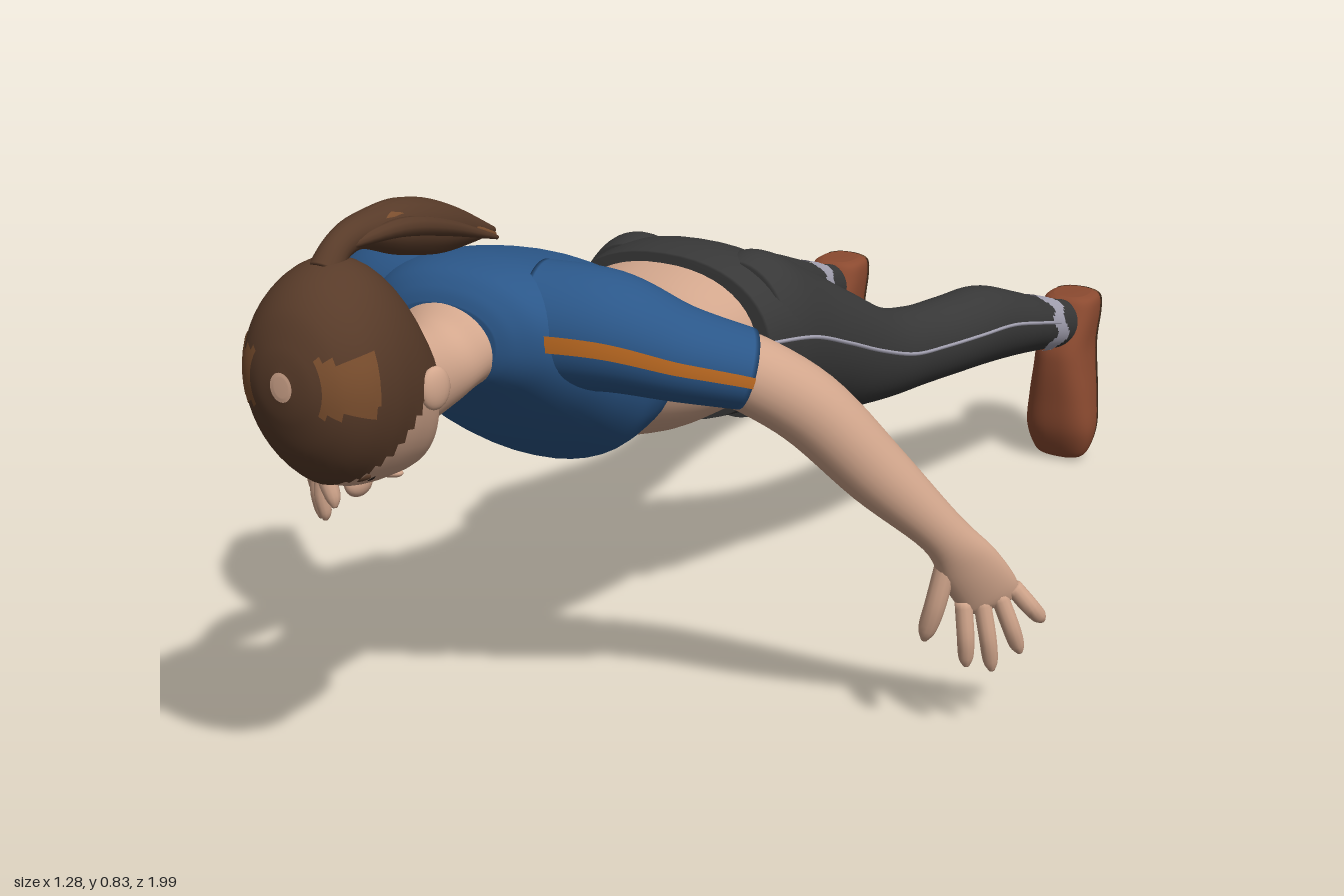
import * as THREE from 'three';

const V = (x, y, z) => new THREE.Vector3(x, y, z);
const mat = (name, color, side = THREE.FrontSide) => {
  const m = new THREE.MeshStandardMaterial({ color, side });
  m.name = name;
  return m;
};

// Catmull-Rom resampling of rows of numbers
function smooth(rows, steps) {
  const out = [], last = rows.length - 1;
  for (let i = 0; i < last; i++) {
    const [a, b, c, d] = [rows[Math.max(i - 1, 0)], rows[i], rows[i + 1], rows[Math.min(i + 2, last)]];
    for (let k = 0; k < steps; k++) {
      const t = k / steps;
      out.push(b.map((_, n) => b[n] + 0.5 * t * (c[n] - a[n]
        + t * (2 * a[n] - 5 * b[n] + 4 * c[n] - d[n] + t * (3 * (b[n] - c[n]) + d[n] - a[n])))));
    }
  }
  return [...out, rows[last]];
}

// Skin over rings {c, u, v}; keep(point, angle) cuts a patch out of the skin
function loft(rings, { seg = 48, keep = null, power = 1 } = {}) {
  const pos = [], idx = [], n = rings.length;
  const bend = (t) => Math.sign(t) * Math.abs(t) ** power;
  const point = (r, a) => r.c.clone().addScaledVector(r.u, bend(Math.cos(a))).addScaledVector(r.v, bend(Math.sin(a)));
  const angle = (j) => (j / seg) * Math.PI * 2;
  rings.forEach((r) => { for (let j = 0; j < seg; j++) pos.push(...point(r, angle(j)).toArray()); });
  pos.push(...rings[0].c.toArray(), ...rings[n - 1].c.toArray());
  for (let j = 0; j < seg; j++) {
    const k = (j + 1) % seg, e = (n - 1) * seg;
    for (let i = 0; i < n - 1; i++) {
      const mid = point(rings[i], angle(j + 0.5)).lerp(point(rings[i + 1], angle(j + 0.5)), 0.5);
      if (keep && !keep(mid, angle(j + 0.5))) continue;
      const a = i * seg + j, b = i * seg + k;
      idx.push(a, b, b + seg, a, b + seg, a + seg);
    }
    if (!keep) idx.push(n * seg, k, j, n * seg + 1, e + j, e + k);
  }
  const g = new THREE.BufferGeometry();
  g.setAttribute('position', new THREE.Float32BufferAttribute(pos, 3));
  g.setIndex(idx);
  g.computeVertexNormals();
  return g;
}

// Rows [z, top, bottom, halfWidth, centreX] with rising z
const slicesZ = (rows, steps = 6, grow = 0) => smooth(rows, steps).map(([z, t, b, w, x = 0]) => ({
  c: V(x, (t + b) / 2, z), u: V(w + grow, 0, 0), v: V(0, (t - b) / 2 + grow, 0),
}));

// Rows [y, back, front, halfWidth, centreX] with rising y
const slicesY = (rows, grow = 0) => smooth(rows, 6).map(([y, b, f, w, x]) => ({
  c: V(x, y, (b + f) / 2), u: V(0, 0, (f - b) / 2 + grow), v: V(w + grow, 0, 0),
}));

// Rows [x, y, z, radiusU, radiusV] along a path; ref sets the direction of U
function along(rows, ref, steps = 6, grow = 0) {
  const s = smooth(rows, steps), at = (i) => V(...s[Math.min(Math.max(i, 0), s.length - 1)].slice(0, 3));
  return s.map((r, i) => {
    const w = at(i + 1).sub(at(i - 1)).normalize();
    const u = ref.clone().addScaledVector(w, -ref.dot(w)).normalize();
    const v = w.clone().cross(u);
    return { c: at(i), u: u.multiplyScalar(r[3] + grow), v: v.multiplyScalar(r[4] + grow) };
  });
}

export function createModel() {
  const model = new THREE.Group();
  const skin = mat('skin', 0xd3a78d);
  const hair = mat('hair brown', 0x583b29, THREE.DoubleSide);
  const hairLight = mat('light hair', 0x7d502f, THREE.DoubleSide);
  const blue = mat('shirt blue', 0x2b5789);
  const orange = mat('stripe orange', 0xc06c22, THREE.DoubleSide);
  const dark = mat('legging charcoal', 0x383838);
  const grey = mat('pale grey', 0xa5a3b3, THREE.DoubleSide);
  const rust = mat('shoe rust', 0x8b4a30);
  const soleBrown = mat('sole brown', 0x6a4931, THREE.DoubleSide);
  const eyeDark = mat('eye dark', 0x2c211c);
  const add = (name, geo, material) => {
    const m = new THREE.Mesh(geo, material);
    m.name = name;
    model.add(m);
    return m;
  };
  const ball = (name, material, p, r) => {
    const m = add(name, new THREE.SphereGeometry(1, 20, 14), material);
    m.position.set(...p);
    m.scale.set(...r);
    return m;
  };

  // Torso
  add('midriff', loft(slicesZ([[.06, .59, .35, .165], [.2, .577, .357, .153], [.3, .605, .378, .157], [.42, .65, .41, .16]]), { power: .9 }), skin);
  add('shirt', loft(slicesZ([[.36, .652, .392, .166], [.4, .67, .385, .172], [.45, .688, .39, .18], [.52, .705, .43, .185],
    [.58, .712, .48, .175], [.63, .705, .53, .14], [.655, .685, .555, .105], [.665, .665, .57, .08]]), { power: .92 }), blue);
  add('neck', loft(slicesZ([[.6, .69, .55, .09], [.66, .668, .55, .078], [.7, .65, .533, .062], [.76, .655, .52, .056], [.81, .66, .52, .05]])), skin);
  add('hips', loft(slicesZ([[-.085, .47, .38, .06], [-.07, .535, .345, .14], [-.04, .575, .33, .188], [0, .595, .33, .195],
    [.05, .602, .335, .188], [.11, .597, .345, .178]]), { power: .9 }), dark);

  // Head, with the face turned down and the crown forward
  const headRows = [[.732, .58, .495, .03], [.75, .645, .482, .052], [.78, .69, .478, .07], [.82, .74, .48, .084], [.86, .77, .485, .092],
    [.9, .776, .495, .095], [.94, .76, .522, .089], [.97, .73, .56, .068], [.987, .69, .605, .038], [.993, .66, .635, .01]];
  const hairline = (p) => p.z > .925 || p.y > (p.z > .83 ? .6 - (p.z - .83) * .9 : .6 + (.83 - p.z) * .45);
  add('head', loft(slicesZ(headRows, 8)), skin);
  add('hair', loft(slicesZ(headRows, 8, .006), { keep: hairline }), hair);
  add('hairHighlight', loft(slicesZ(headRows, 8, .008), {
    keep: (p) => p.z > .93 && p.z < .984 && Math.abs(p.y - .65) < .035 && Math.abs(p.x) > .025,
  }), hairLight);
  ball('nose', skin, [0, .485, .853], [.014, .02, .024]);
  ball('lips', skin, [0, .48, .795], [.025, .008, .011]);
  add('ponytail', loft(along([[0, .765, .9, .022, .022], [0, .79, .875, .019, .019], [0, .8, .83, .024, .022], [0, .788, .75, .034, .036],
    [0, .765, .66, .03, .032], [0, .735, .545, .004, .005]], V(1, 0, 0)), { seg: 20 }), hair);
  for (let i = 0; i < 5; i++) {
    const x = (i - 2) * .015, y = .02 - Math.abs(i - 2) * .008;
    add('ponytailStrand', loft(along([[x * .4, .79 + y * .5, .87, .005, .005], [x, .795 + y, .79, .011, .012], [x * 1.1, .775 + y, .7, .011, .011],
      [x * .8, .735, .56 + .012 * (i % 3), .003, .003]], V(1, 0, 0)), { seg: 10 }), i % 2 ? hairLight : hair);
  }

  for (const s of [1, -1]) {
    const side = s > 0 ? 'left' : 'right';
    const flip = (rows) => rows.map(([x, ...rest]) => [x * s, ...rest]);
    const flipLast = (rows) => rows.map((r) => [...r.slice(0, 4), r[4] * s]);

    // Face details
    ball(side + 'Ear', skin, [s * .096, .612, .818], [.011, .028, .022]).rotation.y = s * -.3;
    ball(side + 'Eye', eyeDark, [s * .036, .507, .882], [.013, .006, .006]).rotation.z = s * .3;
    ball(side + 'Eyebrow', hair, [s * .037, .511, .9], [.02, .005, .004]).rotation.z = s * .3;

    // Sleeve and its stripe
    const sleeve = flip([[.08, .622, .555, .085, .085], [.17, .62, .535, .08, .082], [.25, .592, .495, .064, .07], [.322, .566, .44, .054, .06]]);
    add(side + 'Sleeve', loft(along(sleeve, V(0, 1, 0), 8)), blue);
    add(side + 'SleeveStripe', loft(along(sleeve, V(0, 1, 0), 8, .004), {
      keep: (p, a) => Math.sin(a) * s > 0 && Math.abs(Math.cos(a)) < .12 && Math.abs(p.x) > .12,
    }), orange);

    // Arm and palm
    const across = V(s * .74, .1, -.66);
    add(side + 'Arm', loft(along(flip([[.24, .594, .49, .05, .05], [.31, .568, .446, .052, .052], [.385, .507, .385, .052, .052], [.46, .408, .325, .046, .046],
      [.53, .318, .268, .034, .031], [.557, .265, .238, .043, .022], [.576, .215, .207, .044, .017], [.58, .198, .2, .036, .01]]), across), { seg: 28 }), skin);
    // Fingers: base and tip
    const fingers = [[.55, .208, .232, .556, .11, .228], [.57, .21, .216, .584, .1, .203], [.588, .215, .2, .613, .122, .174],
      [.603, .222, .184, .635, .165, .148], [.535, .275, .258, .507, .152, .264]];
    fingers.forEach(([x, y, z, X, Y, Z], i) => {
      const r = i === 4 ? .015 : .0125;
      add(side + (i === 4 ? 'Thumb' : 'Finger'), loft(along(flip([[x, y, z, r, r], [(x + X) / 2 + .003, (y + Y) / 2, (z + Z) / 2 + .004, r, r],
        [X * .85 + x * .15, Y * .85 + y * .15, Z * .85 + z * .15, r * .85, r * .85], [X, Y, Z, .004, .004]]), across, 4), { seg: 12 }), skin);
    });

    // Leg, side piping and ankle print
    const leg = flipLast([[-.91, .298, .21, .035, .232], [-.8, .33, .233, .046, .225], [-.7, .366, .25, .06, .214], [-.6, .398, .262, .063, .203],
      [-.5, .404, .27, .062, .19], [-.4, .41, .275, .06, .173], [-.3, .432, .28, .067, .157], [-.2, .485, .29, .074, .139],
      [-.1, .543, .31, .096, .109], [0, .592, .332, .097, .1], [.06, .585, .345, .088, .095]]);
    add(side + 'Leg', loft(slicesZ(leg)), dark);
    const piping = leg.slice(1, 10).map(([z, t, b, w, x]) => [x + s * w, (t + b) / 2 + .008, z, .003, .003]);
    piping.push([s * .179, .485, .1, .003, .003]);
    add(side + 'LegPiping', loft(along(piping, V(0, 1, 0)), { seg: 6 }), grey);
    add(side + 'AnklePrint', loft(slicesZ(leg, 16, .003), {
      keep: (p, a) => p.z > -.835 + .014 * Math.sin(5 * a) && p.z < -.775 + .014 * Math.sin(7 * a) && (p.y > .27 || p.x * s > .235),
    }), grey);

    // Shoe standing on its toe, sole facing back
    const shoe = flipLast([[0, -.93, -.908, .025, .237], [.012, -.944, -.893, .047, .237], [.06, -.957, -.873, .062, .237], [.12, -.971, -.866, .058, .236],
      [.18, -.983, -.862, .05, .235], [.22, -.989, -.866, .047, .234], [.27, -.995, -.888, .049, .234], [.296, -.996, -.9, .045, .234], [.304, -.985, -.912, .03, .234]]);
    // keep ring axes right-handed on both sides: width stays positive, only the centre is mirrored
    add(side + 'Shoe', loft(slicesY(shoe), { power: .75 }), rust);
    add(side + 'Sole', loft(slicesY(shoe, .003), { power: .75, keep: (p, a) => Math.cos(a) < -.45 }), soleBrown);
  }
  return model;
}
